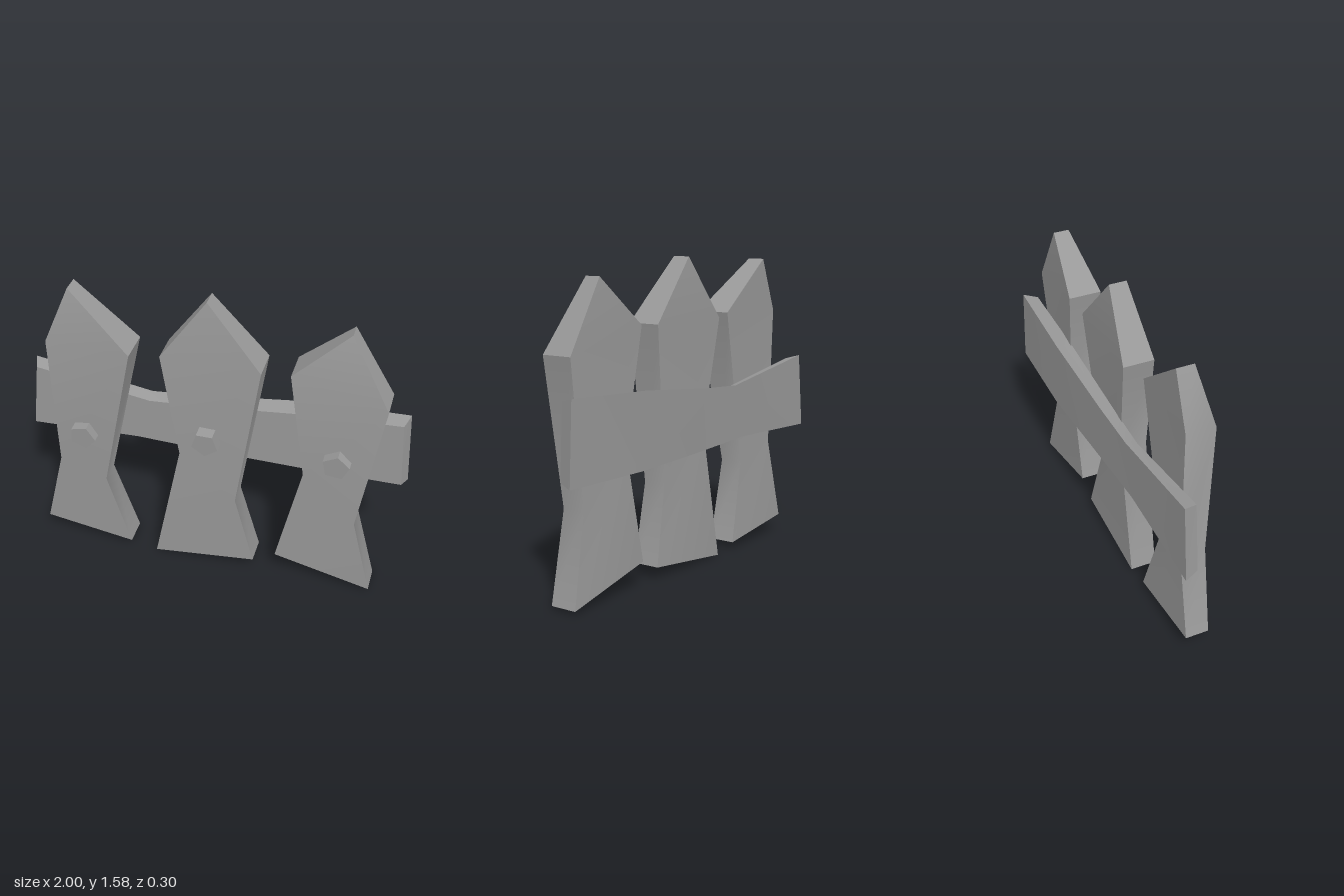
import * as THREE from 'three';
import { toCreasedNormals } from 'three/addons/utils/BufferGeometryUtils.js';

// Skins a row of four-cornered rings and caps both ends
function loft(rings) {
  const pos = [], index = [];
  rings.forEach(r => r.forEach(p => pos.push(...p)));
  const quad = (a, b, c, d) => index.push(a, b, c, a, c, d);
  for (let k = 0; k < rings.length - 1; k++) {
    for (let i = 0; i < 4; i++) {
      const j = (i + 1) % 4, o = k * 4;
      quad(o + i, o + j, o + 4 + j, o + 4 + i);
    }
  }
  const e = (rings.length - 1) * 4;
  quad(3, 2, 1, 0);
  quad(e, e + 1, e + 2, e + 3);
  const g = new THREE.BufferGeometry();
  g.setAttribute('position', new THREE.Float32BufferAttribute(pos, 3));
  g.setIndex(index);
  return toCreasedNormals(g, 0.6);
}

// Level of a picket: left and right edges, each [x, y, frontZ, backZ]
const level = ([lx, ly, lf, lb], [rx, ry, rf, rb]) =>
  [[lx, ly, lf], [rx, ry, rf], [rx, ry, rb], [lx, ly, lb]];

export function createModel() {
  const group = new THREE.Group();
  const wood = new THREE.MeshStandardMaterial({ color: 0x999999 });
  wood.name = 'grey wood';
  const add = (name, geometry) => {
    const mesh = new THREE.Mesh(geometry, wood);
    mesh.name = name;
    group.add(mesh);
    return mesh;
  };

  // Pickets: foot, waist, shoulder, tip
  const pickets = {
    rightPicket: [
      [[-0.89, 0.09, 0.06, -0.06], [-0.41, 0.035, 0.08, -0.06]],
      [[-0.78, 0.53, 0.08, -0.05], [-0.53, 0.45, 0.09, -0.03]],
      [[-0.8, 1.26, 0.09, -0.06], [-0.36, 1.275, 0.13, -0.05]],
      [[-0.69, 1.54, 0.03, -0.06], [-0.69, 1.54, 0.03, -0.06]],
    ],
    middlePicket: [
      [[-0.27, 0.0, 0.075, -0.06], [0.265, 0.065, 0.08, -0.06]],
      [[-0.13, 0.7, 0.08, -0.06], [0.165, 0.46, 0.09, -0.03]],
      [[-0.225, 1.26, 0.07, -0.09], [0.28, 1.265, 0.09, -0.08]],
      [[0, 1.575, 0.03, -0.06], [0, 1.575, 0.03, -0.06]],
    ],
    leftPicket: [
      [[0.38, 0.125, 0.07, -0.06], [0.885, 0.015, 0.08, -0.06]],
      [[0.505, 0.7, 0.08, -0.06], [0.78, 0.45, 0.09, -0.03]],
      [[0.42, 1.275, 0.08, -0.09], [0.89, 1.17, 0.1, -0.06]],
      [[0.685, 1.51, 0.02, -0.06], [0.685, 1.51, 0.02, -0.06]],
    ],
  };
  for (const [name, levels] of Object.entries(pickets)) {
    add(name, loft(levels.map(([l, r]) => level(l, r))));
  }

  // Cross rail: [bottomX, bottomY, topX, topY, backZ, end inset], narrower in front
  const rail = [
    [-1, 0.605, -0.96, 1.0, -0.135, 0.025],
    [-0.4, 0.625, -0.33, 0.905, -0.125, 0],
    [0.05, 0.61, -0.05, 0.925, -0.135, 0],
    [0.5, 0.605, 0.47, 0.98, -0.152, 0],
    [1, 0.61, 0.98, 1.005, -0.14, -0.025],
  ];
  add('crossRail', loft(rail.map(([bx, by, tx, ty, z, inset]) => [
    [bx + inset, by + 0.018, -0.065], [bx, by, z], [tx, ty, z], [tx + inset, ty - 0.02, -0.065],
  ])));

  // Five-sided pegs: x, y, tip z, angle of first corner
  const pegs = [[-0.625, 0.745, 0.145, 1.5], [0.018, 0.833, 0.145, 0], [0.67, 0.825, 0.135, 0.5]];
  pegs.forEach(([x, y, tip, turn], i) => {
    const g = new THREE.CylinderGeometry(0.07, 0.07, 0.1, 5).toNonIndexed();
    g.rotateX(Math.PI / 2);
    g.rotateZ(turn);
    g.computeVertexNormals();
    const peg = add(['rightPeg', 'middlePeg', 'leftPeg'][i], g);
    peg.position.set(x, y, tip - 0.05);
    peg.rotation.x = 0.06;
  });

  return group;
}
